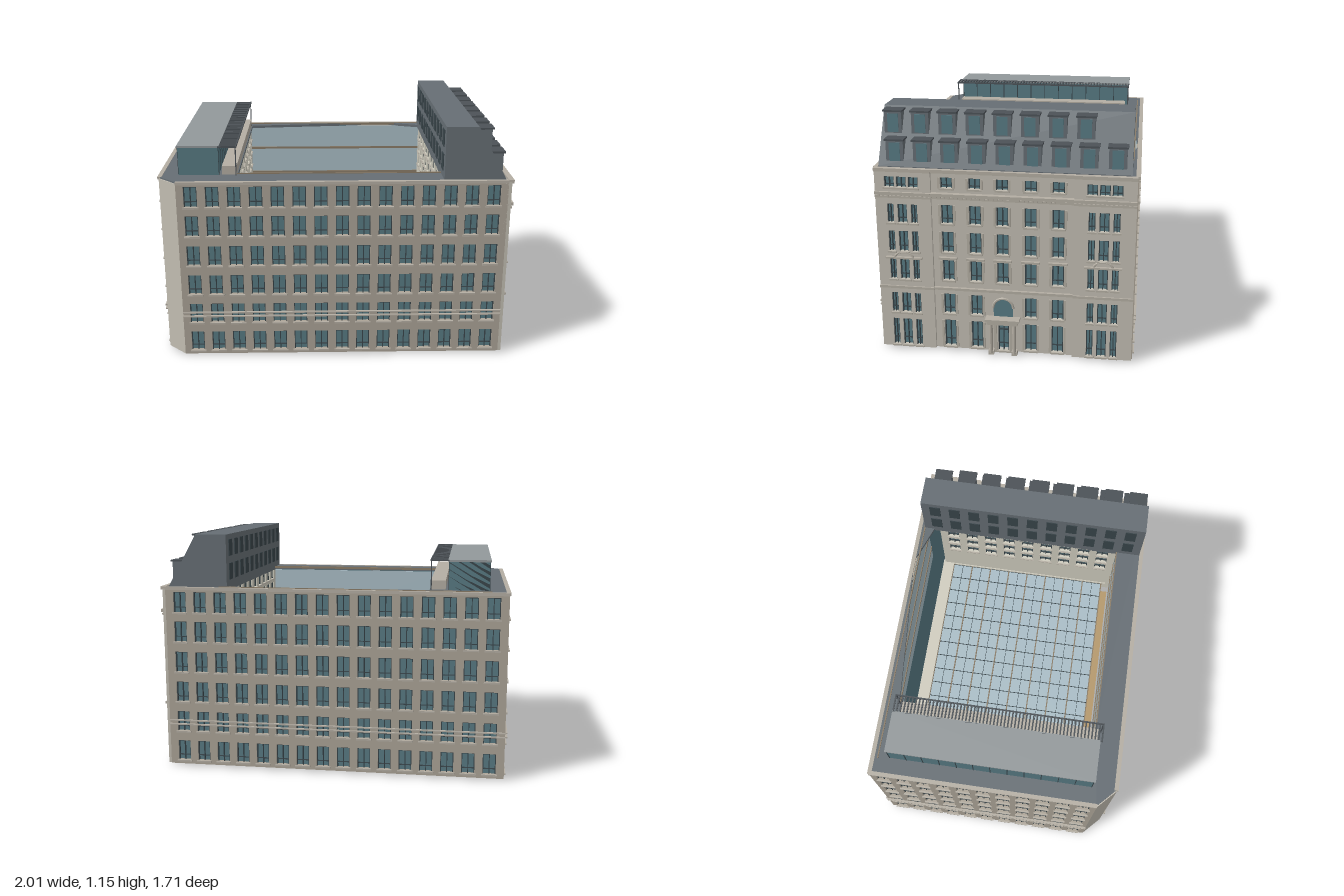
import * as THREE from 'three';
import { mergeGeometries } from 'three/addons/utils/BufferGeometryUtils.js';

const mat = (color, side = THREE.FrontSide) => new THREE.MeshStandardMaterial({ color, side, flatShading: true });
const M = {
  wall: mat(0xaba396), stone: mat(0xc2bdb2), trim: mat(0xb4aea3), slate: mat(0x666e74), slateDark: mat(0x4c5257),
  glass: mat(0x587a83, THREE.DoubleSide), paleGlass: mat(0xa9bdc6, THREE.DoubleSide), frame: mat(0x39454a),
  roofGrey: mat(0x92989a), brown: mat(0x8a7c68), tan: mat(0xb4986c), cream: mat(0xcfccbe), base: mat(0x5f5f57),
};
const FLOORS = [0.03, 0.18, 0.33, 0.48, 0.63, 0.775];
const TOP = 0.89;

// box from its centre and size
const box = (x, y, z, w, h, d) => new THREE.BoxGeometry(w, h, d).translate(x, y, z);

function add(parent, name, geos, material) {
  const list = [].concat(geos);
  const mesh = new THREE.Mesh(list.length > 1 ? mergeGeometries(list) : list[0], material);
  mesh.name = name;
  parent.add(mesh);
  return mesh;
}

function polygon(points) {
  return new THREE.Shape(points.map(([x, y]) => new THREE.Vector2(x, y)));
}

// horizontal slab from a plan outline (x, z) with its upper face at y
function slab(outline, holes, y, thick) {
  const s = polygon(outline);
  holes.forEach(h => s.holes.push(polygon(h)));
  return new THREE.ExtrudeGeometry(s, { depth: thick, bevelEnabled: false }).rotateX(Math.PI / 2).translate(0, y, 0);
}

const rect = (x0, y0, x1, y1) => [[x0, y0], [x1, y0], [x1, y1], [x0, y1]];

// wall in local xy facing +z, pierced by windows [centre x, bottom y, width, height]
function facade(parent, name, x0, x1, windows, material, z = 0, sill = 0.008) {
  const g = new THREE.Group();
  g.name = name;
  g.position.z = z;
  const s = polygon(rect(x0, 0.01, x1, TOP));
  const frames = [], sills = [];
  for (const [x, y, w, h] of windows) {
    s.holes.push(polygon(rect(x - w / 2, y, x + w / 2, y + h)));
    for (const i of [-1, 0, 1]) frames.push(box(x + i * (w / 2 - 0.002), y + h / 2, -0.012, 0.004, h, 0.01));
    frames.push(box(x, y + h * 0.98, -0.012, w, 0.004, 0.01), box(x, y + h * 0.25, -0.012, w, 0.003, 0.008));
    sills.push(box(x, y - 0.004, sill / 2, w + 0.012, 0.008, sill));
  }
  add(g, name + 'Masonry', new THREE.ExtrudeGeometry(s, { depth: 0.02, bevelEnabled: false }).translate(0, 0, -0.02), material);
  if (windows.length) {
    add(g, name + 'Glass', box((x0 + x1) / 2, 0.45, -0.019, x1 - x0 - 0.01, 0.86, 0.004), M.glass);
    add(g, name + 'Frames', frames, M.frame);
    add(g, name + 'Sills', sills, M.trim);
  }
  parent.add(g);
  return g;
}

function side(parent, x, z, angle) {
  const g = new THREE.Group();
  g.position.set(x, 0, z);
  g.rotation.y = angle;
  parent.add(g);
  return g;
}

const windowGrid = (start, pitch, count, w) => FLOORS.flatMap(y =>
  Array.from({ length: count }, (_, i) => [start + pitch * i, y, w, 0.1]));

// office elevation with regular bays, string courses and parapet
function officeWall(parent, name, length, count, x, z, angle, margin) {
  const g = side(parent, x, z, angle);
  g.name = name + 'Side';
  const pitch = (length - 2 * margin) / count;
  facade(g, name, 0, length, windowGrid(margin + pitch / 2, pitch, count, pitch * 0.62), M.wall);
  add(g, name + 'StringCourses', [0.215, 0.235].map(y => box(length / 2, y, 0.004, length, 0.006, 0.012)), M.trim);
  add(g, name + 'Parapet', box(length / 2, 0.892, -0.004, length, 0.014, 0.02), M.trim);
}

// ornate entrance elevation: two projecting end pavilions and a five-bay centre
function entranceSide(parent) {
  const g = side(parent, 0.81, 0.605, Math.PI / 2);
  g.name = 'entranceSide';
  const rows = [[0.02, 0.135], [0.19, 0.1], [0.36, 0.1], [0.5, 0.1], [0.64, 0.09], [0.81, 0.05]];
  const bays = [0.327, 0.456, 0.581, 0.71, 0.835];
  const ends = [[0, 0.258, 0.123], [0.905, 1.18, 1.04]];
  const centre = [], trims = [], arches = [];
  rows.forEach(([y, h], r) => bays.forEach((x, i) => {
    if (i === 2 && r < 2) return;
    centre.push([x, y, 0.054, h]);
    if (r === 2) trims.push(box(x, y + h + 0.012, 0.006, 0.085, 0.01, 0.018));
    for (const s of [-1, 1]) trims.push(box(x + s * 0.034, y + h / 2, 0.002, 0.01, h, 0.008));
  }));
  centre.push([bays[2], 0.012, 0.05, 0.14]);
  facade(g, 'entranceCentre', 0.258, 0.905, centre, M.stone);
  ends.forEach(([a, b, c], e) => {
    const wins = [];
    rows.forEach(([y, h], r) => {
      for (const i of [-1, 0, 1]) wins.push([c + i * 0.055, y, r === 5 ? 0.046 : i ? 0.03 : 0.044, h]);
      if (r === 2) {
        trims.push(box(c, y + h + 0.01, 0.02, 0.17, 0.008, 0.02));
        arches.push(new THREE.TorusGeometry(0.042, 0.006, 6, 14, Math.PI).scale(1, 0.6, 1).translate(c, y + h + 0.012, 0.02));
      }
    });
    facade(g, e ? 'backPavilion' : 'frontPavilion', a, b, wins, M.stone, 0.015);
    add(g, 'pavilionReturn', [a + 0.004, b - 0.004].map(x => box(x, 0.45, 0, 0.008, 0.88, 0.028)), M.stone);
  });
  // horizontal bands and bracketed main cornice
  for (const [y, h, d] of [[0.32, 0.012, 0.014], [0.765, 0.01, 0.012], [0.782, 0.014, 0.024], [0.892, 0.016, 0.02]]) {
    trims.push(box(0.59, y, d / 2, 1.18, h, d));
    ends.forEach(([a, b]) => trims.push(box((a + b) / 2, y, 0.015 + d / 4, b - a, h, d / 2)));
  }
  for (let x = 0.02; x < 1.17; x += 0.02) trims.push(box(x, 0.772, 0.012, 0.008, 0.01, 0.02));
  add(g, 'facadeTrim', trims, M.trim);
  add(g, 'archedHoods', arches, M.trim);
  // portico with fanlight
  const d = bays[2];
  add(g, 'portico', [
    ...[-1, 1].flatMap(s => [
      new THREE.CylinderGeometry(0.009, 0.009, 0.15, 10).translate(d + s * 0.055, 0.09, 0.03),
      box(d + s * 0.055, 0.015, 0.02, 0.026, 0.02, 0.03), box(d + s * 0.038, 0.085, 0.004, 0.014, 0.16, 0.012)]),
    box(d, 0.172, 0.018, 0.145, 0.016, 0.05), box(d, 0.186, 0.02, 0.16, 0.01, 0.055)], M.trim);
  add(g, 'door', [box(d, 0.06, -0.01, 0.004, 0.12, 0.01), box(d, 0.12, -0.01, 0.05, 0.005, 0.01)], M.frame);
  add(g, 'fanlight', [new THREE.CircleGeometry(0.045, 20, 0, Math.PI).translate(d, 0.235, 0.003),
    new THREE.PlaneGeometry(0.09, 0.045).translate(d, 0.2125, 0.003)], M.glass);
  add(g, 'fanlightArch', new THREE.TorusGeometry(0.047, 0.006, 6, 20, Math.PI).translate(d, 0.235, 0.004), M.trim);
}

// mansard wing with two rows of dormers and a windowed courtyard face
function mansard(parent) {
  const g = new THREE.Group();
  g.name = 'mansardWing';
  const profile = polygon([[0.51, 0.88], [0.8, 0.88], [0.8, 0.9], [0.66, 1.15], [0.51, 1.15]]);
  add(g, 'mansardRoof', new THREE.ExtrudeGeometry(profile, { depth: 1.14, bevelEnabled: false }).translate(0, 0, -0.55), M.slate);
  const cheeks = [], roofs = [], panes = [];
  const dormer = (front, top, z) => {
    cheeks.push(box(front - 0.05, top - 0.055, z, 0.1, 0.11, 0.08));
    roofs.push(box(front - 0.047, top, z, 0.112, 0.008, 0.09));
    panes.push(box(front + 0.001, top - 0.055, z, 0.004, 0.085, 0.05));
  };
  for (let i = 0; i < 9; i++) dormer(0.787, 1.02, 0.515 - i * 0.125);
  for (let i = 0; i < 8; i++) dormer(0.724, 1.138, 0.535 - i * 0.125);
  add(g, 'dormers', cheeks, M.slate);
  add(g, 'dormerRoofs', roofs, M.slateDark);
  add(g, 'dormerWindows', panes, M.glass);
  const inner = [];
  for (const y of [0.97, 1.085]) for (let i = 0; i < 11; i++) inner.push(box(0.509, y, -0.48 + i * 0.1, 0.006, 0.08, 0.055));
  add(g, 'innerWindows', inner, M.frame);
  parent.add(g);
}

// glazed rooftop storey with a slatted canopy over the terrace
function penthouse(parent) {
  const g = new THREE.Group();
  g.name = 'penthouse';
  add(g, 'penthouseGlass', box(-0.645, 0.96, -0.005, 0.19, 0.14, 0.98), M.glass);
  add(g, 'penthouseRoof', box(-0.645, 1.035, -0.005, 0.2, 0.01, 0.99), M.roofGrey);
  const mullions = [];
  for (let i = 0; i <= 12; i++) mullions.push(box(-0.645, 0.96, -0.493 + i * 0.0813, 0.194, 0.14, 0.004));
  add(g, 'mullions', mullions, M.frame);
  const slats = [-0.548, -0.465].map(x => box(x, 1.036, 0, 0.006, 0.008, 1));
  for (let i = 0; i <= 60; i++) slats.push(box(-0.507, 1.036, -0.497 + i * 0.01657, 0.084, 0.006, 0.007));
  for (const z of [-0.495, 0.495]) slats.push(box(-0.467, 0.96, z, 0.005, 0.15, 0.005));
  add(g, 'canopySlats', slats, M.slateDark);
  add(g, 'terraceUpstand', box(-0.5, 0.915, 0, 0.07, 0.05, 0.96), M.trim);
  parent.add(g);
}

// lower atrium block with a gridded glass roof, and the faces looking onto it
function courtyard(parent) {
  const g = new THREE.Group();
  g.name = 'courtyard';
  add(g, 'atriumBlock', box(-0.0775, 0.245, -0.02, 1.265, 0.48, 0.9), M.cream);
  add(g, 'foundationSlab', box(-0.0775, 0.004, -0.02, 1.265, 0.008, 0.9), M.base);
  add(g, 'atriumGlass', box(0.03, 0.49, 0.005, 0.95, 0.012, 0.85), M.paleGlass);
  const bars = [], beams = [];
  for (let i = 0; i <= 12; i++) bars.push(box(-0.445 + i * 0.0792, 0.497, 0.005, 0.003, 0.004, 0.85));
  for (let i = 0; i <= 16; i++) bars.push(box(0.03, 0.497, -0.42 + i * 0.0531, 0.95, 0.004, 0.002));
  for (let i = 0; i <= 8; i++) beams.push(box(0.03, 0.499, -0.42 + i * 0.106, 0.95, 0.008, 0.006));
  add(g, 'glazingBars', bars, M.frame);
  add(g, 'roofBeams', beams, M.brown);
  add(g, 'backGutter', [box(0.03, 0.5, -0.45, 0.98, 0.02, 0.06), box(0.515, 0.5, 0, 0.02, 0.02, 0.9)], M.cream);
  add(g, 'frontLedge', box(0.03, 0.5, 0.447, 0.85, 0.02, 0.034), M.tan);
  // glazed linings on the front and back, with a band at each floor
  for (const [z, s, w, x] of [[-0.556, 1, 1.3, -0.1], [0.475, -1, 0.975, 0.0225]]) {
    add(g, 'courtyardGlazing', box(x, 0.68, z, w, 0.4, 0.006), M.paleGlass);
    add(g, 'floorBands', FLOORS.slice(3).map(y => box(x, y + 0.12, z + s * 0.005, w, 0.012, 0.006)), M.brown);
  }
  // masonry courtyard faces on the left and right
  for (const [x, s] of [[-0.465, 1], [0.51, -1]]) {
    const face = side(g, x, -s * -0.47, s * Math.PI / 2);
    face.name = 'courtyardFace';
    const wins = windowGrid(0.07, 0.1, 9, 0.06).filter(w => w[1] > 0.45);
    const f = facade(face, 'courtyardWall', 0, 0.94, wins, M.cream);
    f.position.y = 0.445;
    f.scale.y = 0.5;
  }
  parent.add(g);
}

export function createModel() {
  const model = new THREE.Group();
  model.name = 'courtyardBuilding';
  const b = new THREE.Group();
  b.name = 'building';
  b.rotation.y = 0.4;
  model.add(b);

  officeWall(b, 'front', 1.55, 15, -0.74, 0.605, 0, 0.015);
  officeWall(b, 'back', 1.64, 16, 0.81, -0.58, Math.PI, 0.02);
  officeWall(b, 'left', 1.098, 11, -0.83, -0.58, -Math.PI / 2, 0.01);
  facade(side(b, -0.83, 0.518, -0.768), 'chamferedCorner', 0, 0.1252, [], M.stone);
  entranceSide(b);

  // perimeter roof, narrowing along the back
  add(b, 'perimeterRoof', slab(
    [[-0.825, -0.575], [0.8, -0.575], [0.8, 0.6], [-0.738, 0.6], [-0.825, 0.516]],
    [[[-0.46, -0.5], [0.31, -0.572], [0.51, -0.5], [0.51, 0.47], [-0.46, 0.47]]], 0.897, 0.014), M.slate);
  mansard(b);
  penthouse(b);
  courtyard(b);
  return model;
}
